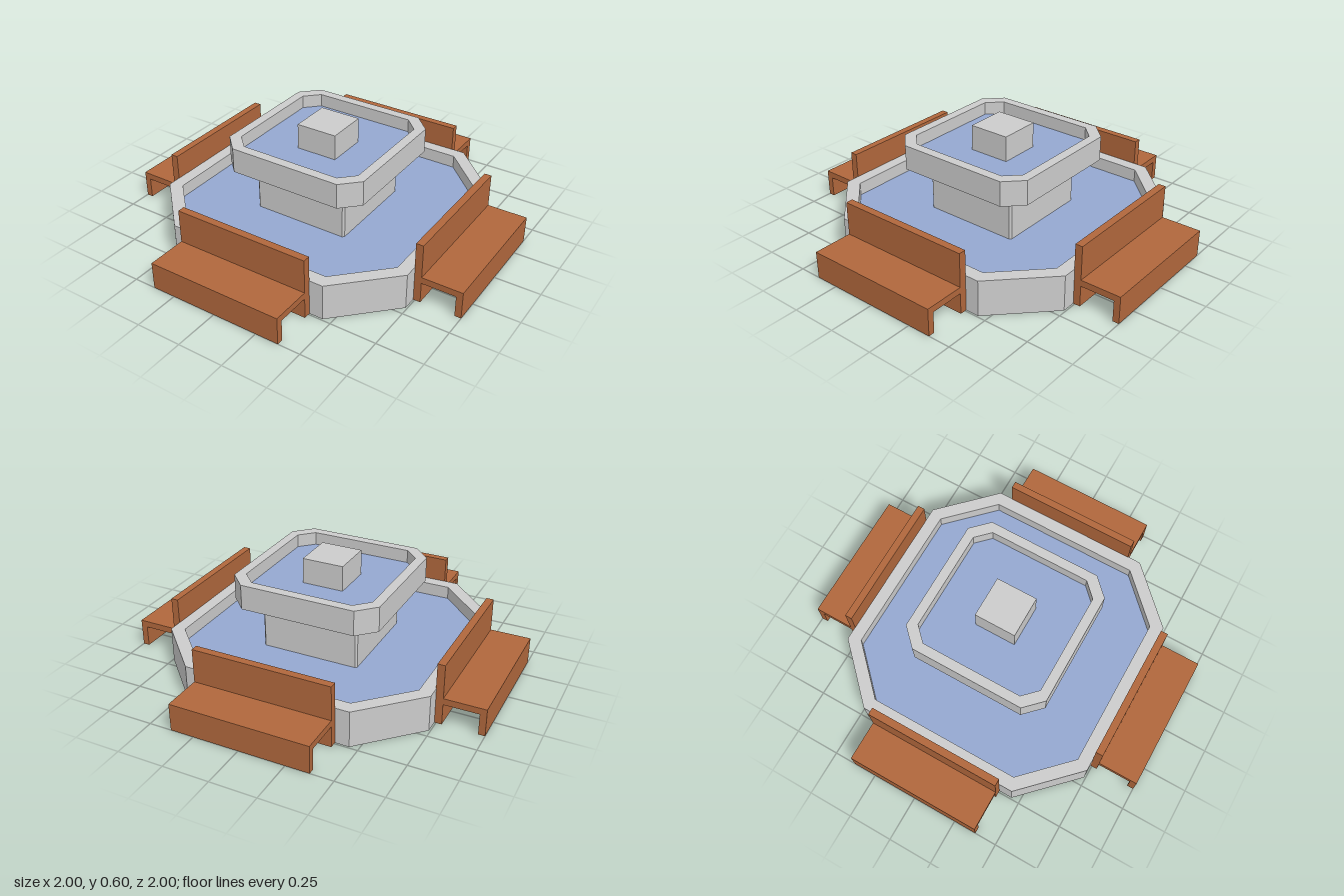
import * as THREE from 'three';

const stone = new THREE.MeshStandardMaterial({ color: 0xcccccc, flatShading: true });
const wood = new THREE.MeshStandardMaterial({ color: 0xb0673c, flatShading: true });
const water = new THREE.MeshStandardMaterial({ color: 0x94a8d0, flatShading: true });

// Corners of a square with cut corners: half width h, flat sides end at c
const octagon = (h, c) => [[h, -c], [h, c], [c, h], [-c, h], [-h, c], [-h, -c], [-c, -h], [c, -h]]
  .map(([x, y]) => new THREE.Vector2(x, y));

// Upright prism between two heights, with an optional hole
function prism(name, outer, y0, y1, material, hole) {
  const shape = new THREE.Shape(outer);
  if (hole) shape.holes.push(new THREE.Path(hole));
  const geometry = new THREE.ExtrudeGeometry(shape, { depth: y1 - y0, bevelEnabled: false });
  geometry.rotateX(-Math.PI / 2).translate(0, y0, 0);
  const mesh = new THREE.Mesh(geometry, material);
  mesh.name = name;
  return mesh;
}

// Basin: rim wall, floor and water surface
function basin(name, outer, inner, y0, y1, level) {
  const group = new THREE.Group();
  group.name = name;
  group.add(
    prism(name + 'Wall', outer, y0, y1, stone, inner),
    prism(name + 'Floor', inner, y0, level - 0.01, stone),
    prism(name + 'Water', inner, level - 0.01, level, water)
  );
  return group;
}

// Bench: one profile (backrest, seat, front leg) extruded along its width
function bench(name) {
  const profile = [
    [0.74, 0], [0.78, 0], [0.78, 0.115], [0.965, 0.115], [0.965, 0],
    [1, 0], [1, 0.15], [0.78, 0.15], [0.78, 0.335], [0.74, 0.335]
  ].map(([x, y]) => new THREE.Vector2(x, y));
  const geometry = new THREE.ExtrudeGeometry(new THREE.Shape(profile), { depth: 0.756, bevelEnabled: false });
  geometry.translate(0, 0, -0.378);
  const mesh = new THREE.Mesh(geometry, wood);
  mesh.name = name;
  return mesh;
}

export function createModel() {
  const model = new THREE.Group();
  model.name = 'fountain';

  // Two basins on a central pedestal
  model.add(
    basin('lowerBasin', octagon(0.742, 0.453), octagon(0.672, 0.425), 0, 0.197, 0.125),
    prism('pedestal', octagon(0.272, 0.262), 0.115, 0.4, stone),
    basin('upperBasin', octagon(0.41, 0.316), octagon(0.358, 0.282), 0.395, 0.532, 0.46)
  );

  // Spout block
  const spout = new THREE.Mesh(new THREE.BoxGeometry(0.23, 0.15, 0.23), stone);
  spout.name = 'spout';
  spout.position.y = 0.525;
  model.add(spout);

  // A bench on each side
  ['leftBench', 'backBench', 'rightBench', 'frontBench'].forEach((name, i) => {
    const seat = bench(name);
    seat.rotation.y = i * Math.PI / 2;
    model.add(seat);
  });
  return model;
}
